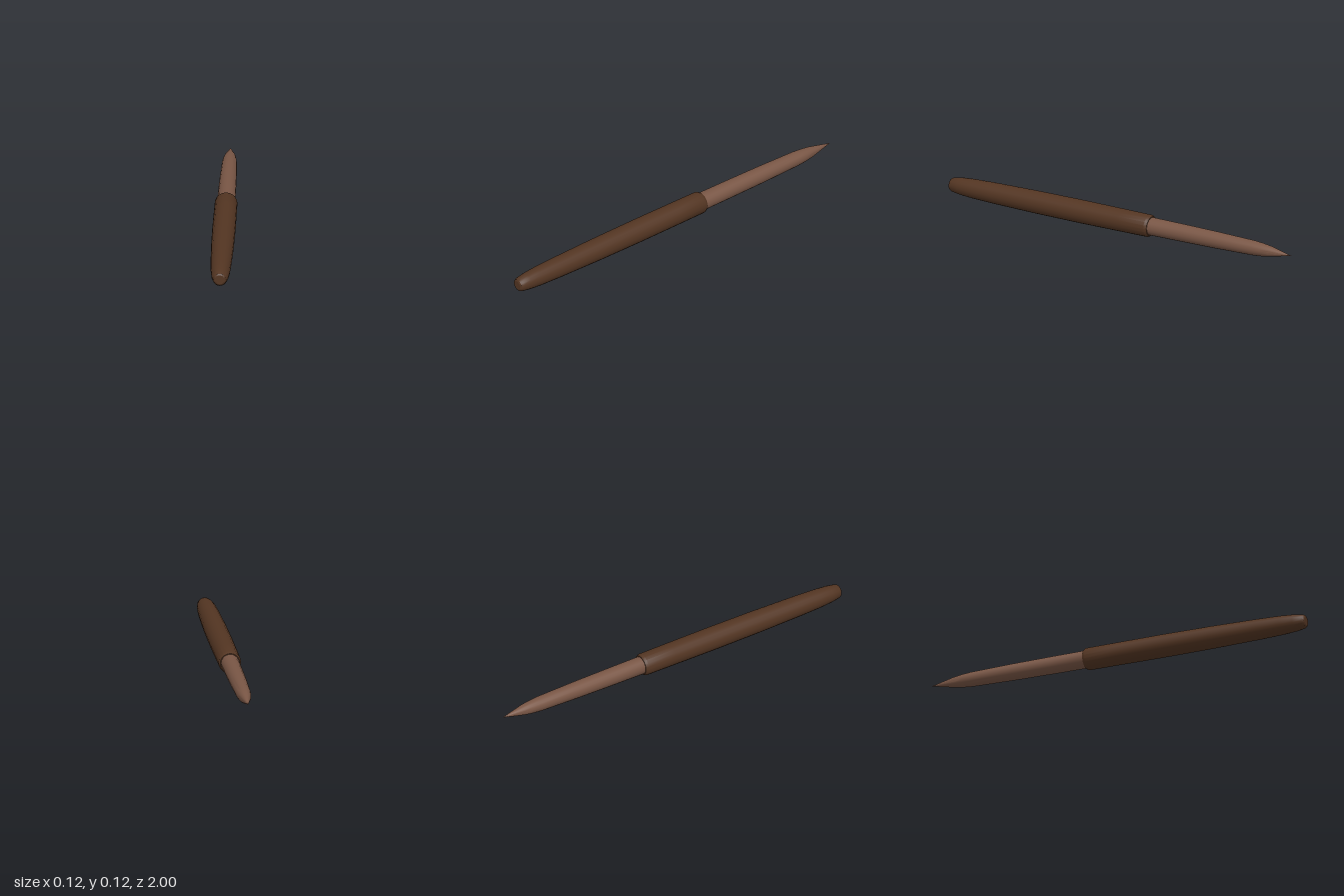
import * as THREE from 'three';
import { toCreasedNormals } from 'three/addons/utils/BufferGeometryUtils.js';

const AXIS_Y = 0.058; // height of the long axis
const SIDES = 20;

// Turned part lying along z, from [radius, z] pairs running back to front
function turned(name, profile, material) {
  const points = profile.map(([r, z]) => new THREE.Vector2(r, z));
  const geometry = toCreasedNormals(new THREE.LatheGeometry(points, SIDES), 0.5);
  geometry.rotateX(Math.PI / 2);
  geometry.translate(0, AXIS_Y, 0);
  const mesh = new THREE.Mesh(geometry, material);
  mesh.name = name;
  return mesh;
}

export function createModel() {
  const darkWood = new THREE.MeshStandardMaterial({ color: 0x533522 });
  darkWood.name = 'darkWood';
  const lightWood = new THREE.MeshStandardMaterial({ color: 0x795645 });
  lightWood.name = 'lightWood';

  const model = new THREE.Group();
  model.name = 'pointedTool';

  // Thick handle with a bevelled collar and a tapered, rounded butt
  model.add(turned('handle', [
    [0, -0.178], [0.049, -0.178], [0.056, -0.165], [0.057, 0], [0.058, 0.23],
    [0.0565, 0.5], [0.052, 0.75], [0.048, 0.87], [0.043, 0.94],
    [0.036, 0.985], [0.03, 0.996], [0.023, 1], [0, 1],
  ], darkWood));

  // Slim shaft narrowing to a sharp point
  model.add(turned('pointedShaft', [
    [0, -1], [0.027, -0.875], [0.033, -0.83], [0.037, -0.78],
    [0.042, -0.55], [0.044, -0.35], [0.045, -0.17],
  ], lightWood));

  return model;
}
